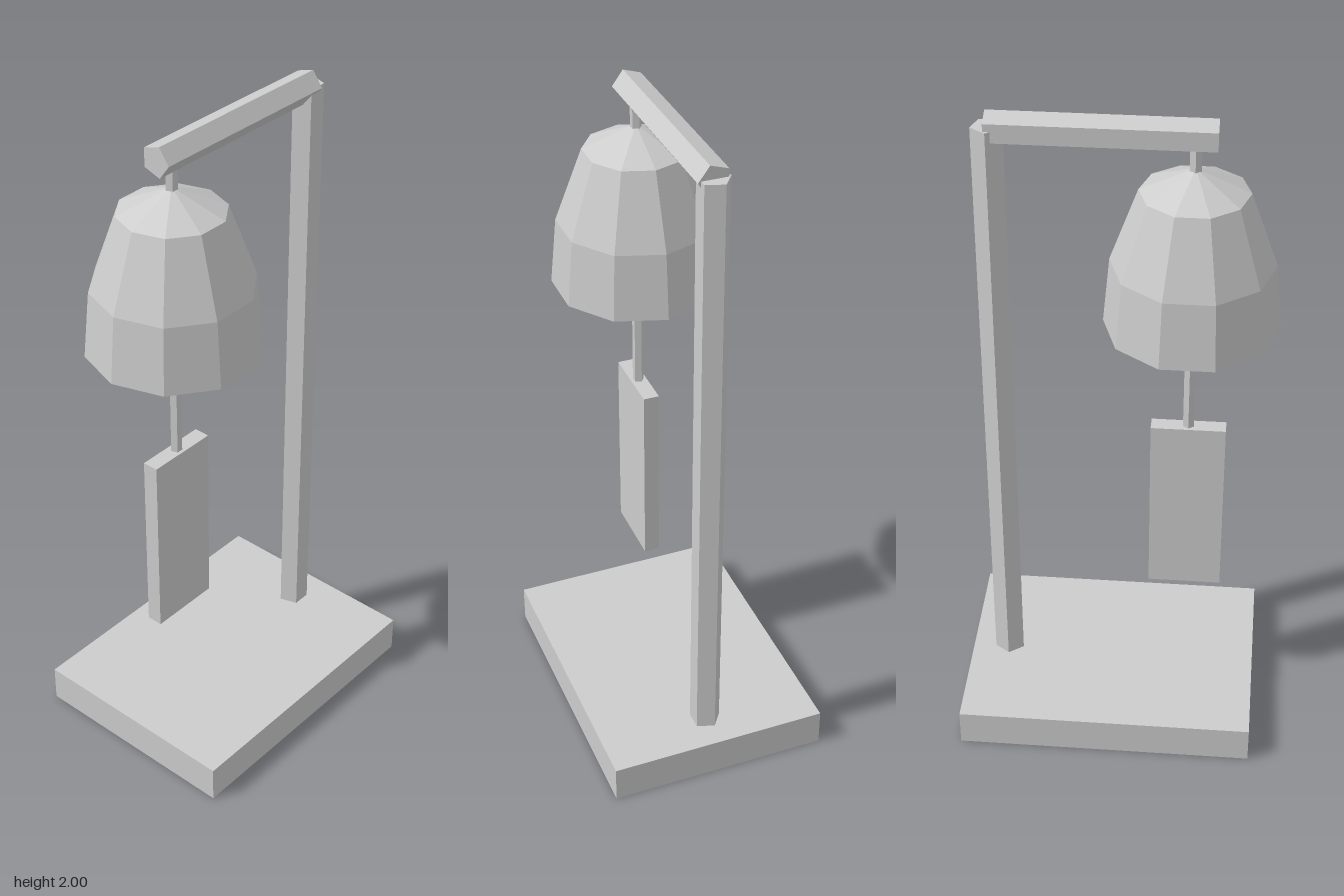
import * as THREE from 'three';

export function createModel() {
  const model = new THREE.Group();
  model.name = 'windBell';
  const grey = new THREE.MeshStandardMaterial({ color: 0xcccccc, flatShading: true });
  grey.name = 'grey';

  const add = (name, geometry, x, y, z = 0) => {
    const mesh = new THREE.Mesh(geometry, grey);
    mesh.name = name;
    mesh.position.set(x, y, z);
    model.add(mesh);
    return mesh;
  };
  // Five-sided bar, first corner towards +z
  const bar = (radius, length) => new THREE.CylinderGeometry(radius, radius, length, 5);

  const bellX = -0.211;

  // Stand
  add('base', new THREE.BoxGeometry(0.895, 0.115, 0.67), 0.0125, 0.0575, -0.002);
  add('post', bar(0.047, 1.86).rotateY(Math.PI), 0.345, 1.03);
  add('arm', bar(0.047, 0.622).rotateZ(Math.PI / 2), 0.041, 1.955);

  // Hanging cord, running through the bell down to the plate
  add('cord', bar(0.017, 0.92).rotateY(Math.PI), bellX, 1.47);

  // Ten-sided bell with a closed underside
  const profile = [[0, 1.37], [0.25, 1.37], [0.232, 1.57], [0.153, 1.79], [0, 1.86]]
    .map(([r, y]) => new THREE.Vector2(r, y));
  add('bell', new THREE.LatheGeometry(profile, 10, Math.PI / 2), bellX, 0);

  // Wind-catching plate
  add('plate', new THREE.BoxGeometry(0.22, 0.578, 0.048), bellX, 0.729);

  return model;
}
